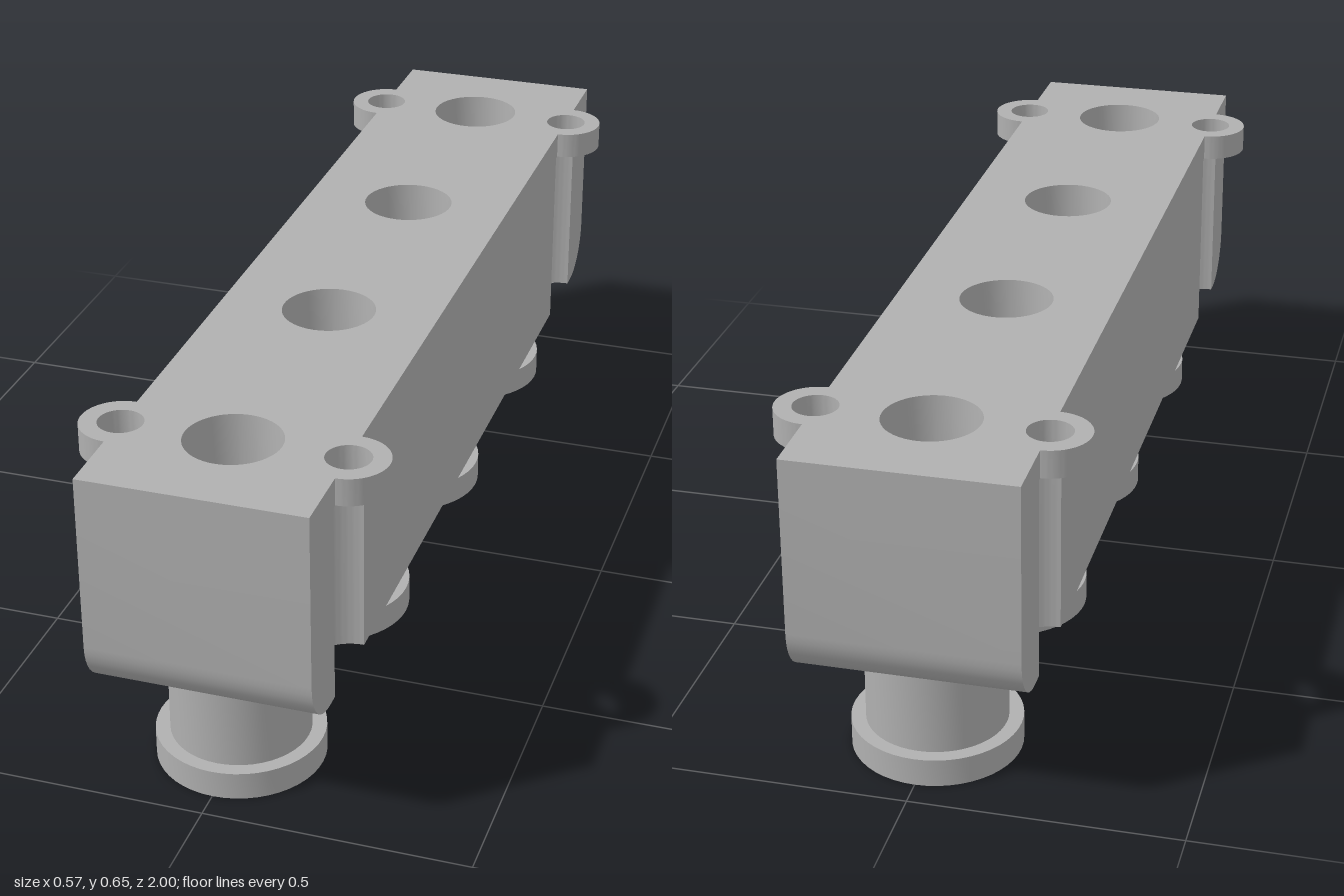
import * as THREE from 'three';
import { toCreasedNormals } from 'three/addons/utils/BufferGeometryUtils.js';

const TOP = 0.653, LUG_Y = 0.6, BOTTOM = 0.213;
const HALF_W = 0.21, BEND = 0.1, LUG_Z = 0.79;
const PORTS = [-0.79, -0.263, 0.263, 0.79];

const grey = new THREE.MeshStandardMaterial({ color: 0xb0b0b0 });
grey.name = 'satin grey';

function circle(x, y, r) {
  return new THREE.Path().absarc(x, y, r, 0, Math.PI * 2, false);
}

// Plan outline with a half circle at each screw position, going in or out
function planShape(r, inward, portRadius) {
  const h = Math.PI / 2;
  const s = new THREE.Shape();
  s.moveTo(HALF_W, -1);
  for (const z of [-LUG_Z, LUG_Z]) {
    s.lineTo(HALF_W, z - r);
    s.absarc(HALF_W, z, r, -h, h, inward);
  }
  s.lineTo(HALF_W, 1);
  s.lineTo(-HALF_W, 1);
  for (const z of [LUG_Z, -LUG_Z]) {
    s.lineTo(-HALF_W, z + r);
    s.absarc(-HALF_W, z, r, h, 3 * h, inward);
  }
  s.lineTo(-HALF_W, -1);
  for (const z of PORTS) s.holes.push(circle(0, z, portRadius));
  return s;
}

function extrudeUp(shape, depth, steps) {
  return new THREE.ExtrudeGeometry(shape, { depth, steps, bevelEnabled: false, curveSegments: 24 })
    .rotateX(-Math.PI / 2);
}

export function createModel() {
  const group = new THREE.Group();
  group.name = 'manifold';
  const add = (name, geometry) => {
    const mesh = new THREE.Mesh(toCreasedNormals(geometry, 0.5), grey);
    mesh.name = name;
    group.add(mesh);
    return mesh;
  };

  // Main block: grooves below the lugs, bottom end edges rounded level by level
  const bends = 10;
  const block = extrudeUp(planShape(0.085, true, 0.1), 1, bends + 1);
  const p = block.attributes.position;
  for (let i = 0; i < p.count; i++) {
    const k = Math.round(p.getY(i) * (bends + 1));
    const a = Math.min(k / bends, 1) * Math.PI / 2;
    p.setY(i, k > bends ? LUG_Y : BOTTOM + BEND * (1 - Math.cos(a)));
    const z = p.getZ(i);
    if (Math.abs(z) > 0.99) p.setZ(i, Math.sign(z) * (1 - BEND + BEND * Math.sin(a)));
  }
  add('block', block);

  // Top plate with the four screw lugs
  const plate = planShape(0.075, false, 0.09);
  for (const x of [-HALF_W, HALF_W]) {
    for (const z of [-LUG_Z, LUG_Z]) plate.holes.push(circle(x, z, 0.042));
  }
  add('topPlateWithLugs', extrudeUp(plate, TOP - LUG_Y, 1)).position.y = LUG_Y;

  // Flanged nozzles with a tapered bore running up through the block
  const profile = [
    [0.09, TOP], [0.07, BOTTOM], [0.09, 0.05], [0.142, 0],
    [0.158, 0], [0.158, 0.054], [0.131, 0.054], [0.131, 0.23],
  ].map(([x, y]) => new THREE.Vector2(x, y));
  PORTS.forEach((z, i) => {
    add(`nozzle${i + 1}`, new THREE.LatheGeometry(profile, 48)).position.z = z;
  });

  return group;
}
